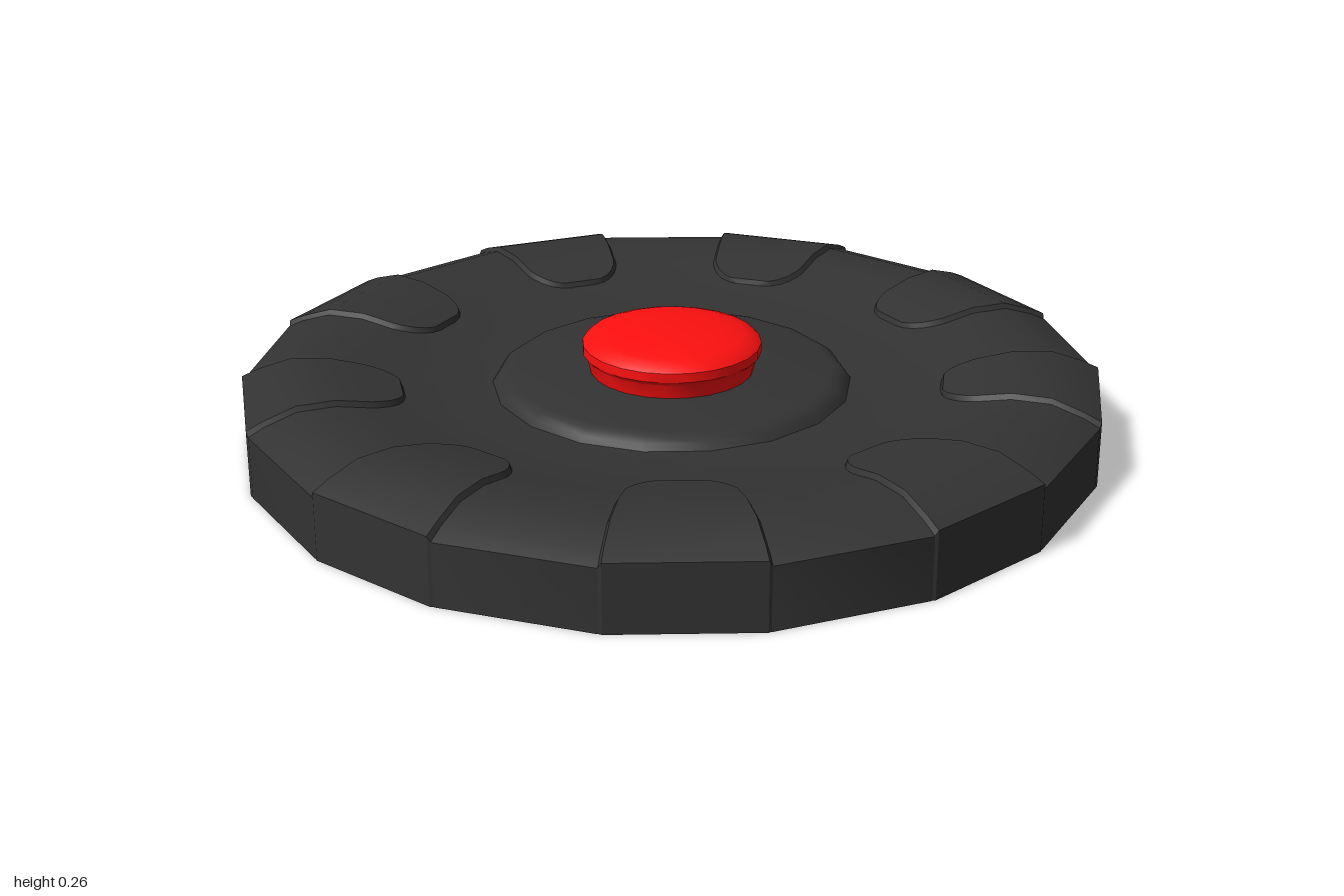
import * as THREE from 'three';
import { toCreasedNormals } from 'three/addons/utils/BufferGeometryUtils.js';

const SIDES = 18;
const STEP = (Math.PI * 2) / SIDES;
const HALF = STEP / 2;

// Top surface of the disc as [radius, height], from the rim to the dished middle
const TOP = [
  [1, 0.145], [0.965, 0.163], [0.89, 0.188], [0.8, 0.188], [0.72, 0.172],
  [0.62, 0.15], [0.52, 0.138], [0.42, 0.134],
];

function topHeight(r) {
  for (let i = 1; i < TOP.length; i++) {
    const [r0, y0] = TOP[i - 1], [r1, y1] = TOP[i];
    if (r >= r1) return y0 + ((y1 - y0) * (r0 - r)) / (r0 - r1);
  }
  return TOP[TOP.length - 1][1];
}

function lathe(points, sides, start = 0) {
  const g = new THREE.LatheGeometry(points.map(([x, y]) => new THREE.Vector2(x, y)), sides, start);
  return toCreasedNormals(g, 0.5);
}

// Slightly raised, round-ended grip pad that lies over one facet of the rim
function padGeometry() {
  const rows = [];
  const round = [[0.636, 0.035], [0.642, 0.06], [0.655, 0.083], [0.675, 0.102], [0.7, 0.117]];
  const straight = [0.72, 0.8, 0.89, 0.965, 1].map((r) => [r, r * Math.sin(HALF)]);
  [...round, ...straight].forEach(([r, w], i) => {
    const lift = i === 0 ? 0.001 : 0.012;
    rows.push({ d: r * Math.cos(HALF) + (r === 1 ? 0.004 : 0), y: topHeight(r), w, lift });
  });
  // down the outer wall
  rows.push({ d: Math.cos(HALF) + 0.004, y: 0, w: Math.sin(HALF), lift: 0 });

  const pos = [], index = [];
  rows.forEach(({ d, y, w, lift }, i) => {
    const inset = w - 0.01;
    const sink = i === rows.length - 1 ? 0 : 0.005;
    const back = i >= rows.length - 2 ? 0.006 : 0;
    pos.push(-w, y - sink, d - back, -inset, y + lift, d, inset, y + lift, d, w, y - sink, d - back);
    if (i === 0) return;
    for (let c = 0; c < 3; c++) {
      const a = (i - 1) * 4 + c, b = a + 4;
      index.push(a, b, a + 1, b, b + 1, a + 1);
    }
  });
  const g = new THREE.BufferGeometry();
  g.setAttribute('position', new THREE.Float32BufferAttribute(pos, 3));
  g.setIndex(index);
  return toCreasedNormals(g, 0.45);
}

export function createModel() {
  const model = new THREE.Group();
  model.name = 'roundPad';
  const dark = new THREE.MeshStandardMaterial({ color: 0x333333 });
  const red = new THREE.MeshStandardMaterial({ color: 0xff1010 });

  // Dished disc with a raised hub in the middle
  const hub = [[0.41, 0.148], [0.395, 0.16], [0.375, 0.165], [0, 0.165]];
  const disc = new THREE.Mesh(lathe([[0, 0], [1, 0], ...TOP, ...hub], SIDES, HALF), dark);
  disc.name = 'disc';
  model.add(disc);

  // Nine grip pads on every second facet
  const pads = new THREE.Group();
  pads.name = 'gripPads';
  const padGeo = padGeometry();
  for (let i = 0; i < SIDES / 2; i++) {
    const pad = new THREE.Mesh(padGeo, dark);
    pad.name = 'gripPad' + (i + 1);
    pad.rotation.y = i * STEP * 2;
    pads.add(pad);
  }
  model.add(pads);

  // Domed centre button
  const button = new THREE.Mesh(
    lathe([[0.19, 0.16], [0.2, 0.2], [0.209, 0.21], [0.209, 0.232], [0.198, 0.243],
      [0.17, 0.253], [0.11, 0.261], [0, 0.263]], 24),
    red,
  );
  button.name = 'button';
  model.add(button);

  return model;
}
